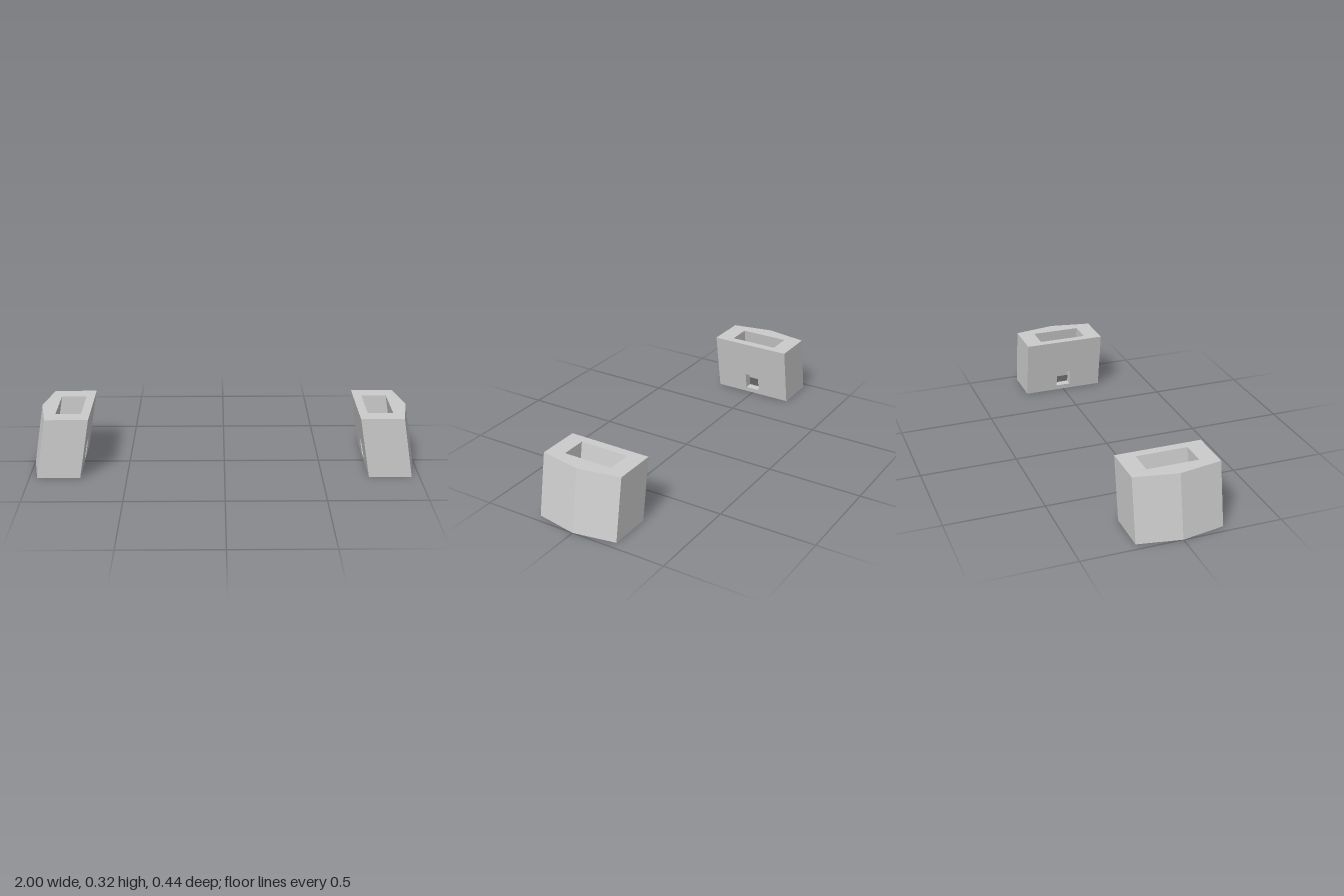
import * as THREE from 'three';
import { mergeGeometries } from 'three/addons/utils/BufferGeometryUtils.js';

const H = 0.318;        // block height
const LEAN = 0.055;     // inward shift of the top
const WIN = { w: 0.08, y0: 0.027, y1: 0.115 }; // small opening in the inner wall

// plan outlines as [x, z]
const OUTER = [[0.74, -0.219], [0.74, 0.219], [0.96, 0.219], [1, 0], [0.96, -0.219]];
const SHAFT = [[0.785, 0.13], [0.785, -0.13], [0.915, -0.13], [0.915, 0.13]];

const shapeOf = (pts) => new THREE.Shape(pts.map(([x, y]) => new THREE.Vector2(x, y)));
const rect = (x, y0, y1) => [[-x, y0], [x, y0], [x, y1], [-x, y1]];

// upright wall panel from plan point a to b, optionally with the window cut out
function panel(a, b, cut) {
  const u = new THREE.Vector3(b[0] - a[0], 0, b[1] - a[1]);
  const shape = shapeOf(rect(u.length() / 2, 0, H));
  if (cut) shape.holes.push(shapeOf(rect(WIN.w / 2, WIN.y0, WIN.y1)));
  u.normalize();
  const up = new THREE.Vector3(0, 1, 0);
  const m = new THREE.Matrix4().makeBasis(u, up, u.clone().cross(up));
  m.setPosition((a[0] + b[0]) / 2, 0, (a[1] + b[1]) / 2);
  return new THREE.ShapeGeometry(shape).applyMatrix4(m);
}

// closed run of panels; the first one carries the window
const walls = (pts) => pts.map((p, i) => panel(p, pts[(i + 1) % pts.length], i === 0));

function blockGeometry() {
  // top and bottom rims
  const ring = shapeOf(OUTER);
  ring.holes.push(shapeOf(SHAFT));
  const top = new THREE.ShapeGeometry(ring).rotateX(-Math.PI / 2).translate(0, H, 0);
  const bottom = new THREE.ShapeGeometry(ring).rotateX(Math.PI / 2);

  // window lining: an open-ended box turned inside out
  const x0 = OUTER[0][0], x1 = SHAFT[0][0];
  const lining = new THREE.BoxGeometry(x1 - x0, WIN.y1 - WIN.y0, WIN.w);
  lining.clearGroups();
  lining.setIndex(Array.from(lining.index.array).slice(12).reverse());
  lining.translate((x0 + x1) / 2, (WIN.y0 + WIN.y1) / 2, 0);

  // join and lean the whole block inward
  const geo = mergeGeometries([...walls(OUTER), ...walls(SHAFT), top, bottom, lining]).toNonIndexed();
  geo.applyMatrix4(new THREE.Matrix4().makeShear(0, 0, -LEAN / H, 0, 0, 0));
  const p = geo.attributes.position;
  // guard the lean direction: x depends on y only
  const q = mergeGeometries([...walls(OUTER), ...walls(SHAFT), top, bottom, lining]).toNonIndexed().attributes.position;
  for (let i = 0; i < p.count; i++) {
    p.setXYZ(i, q.getX(i) - (LEAN * q.getY(i)) / H, q.getY(i), q.getZ(i));
  }
  geo.computeVertexNormals();
  return geo;
}

export function createModel() {
  const group = new THREE.Group();
  const material = new THREE.MeshStandardMaterial({ color: 0xcccccc, flatShading: true });
  const geo = blockGeometry();
  // the blocks face each other, half a turn apart
  ['leftBlock', 'rightBlock'].forEach((name, i) => {
    const block = new THREE.Mesh(geo, material);
    block.name = name;
    block.rotation.y = i * Math.PI;
    group.add(block);
  });
  return group;
}
